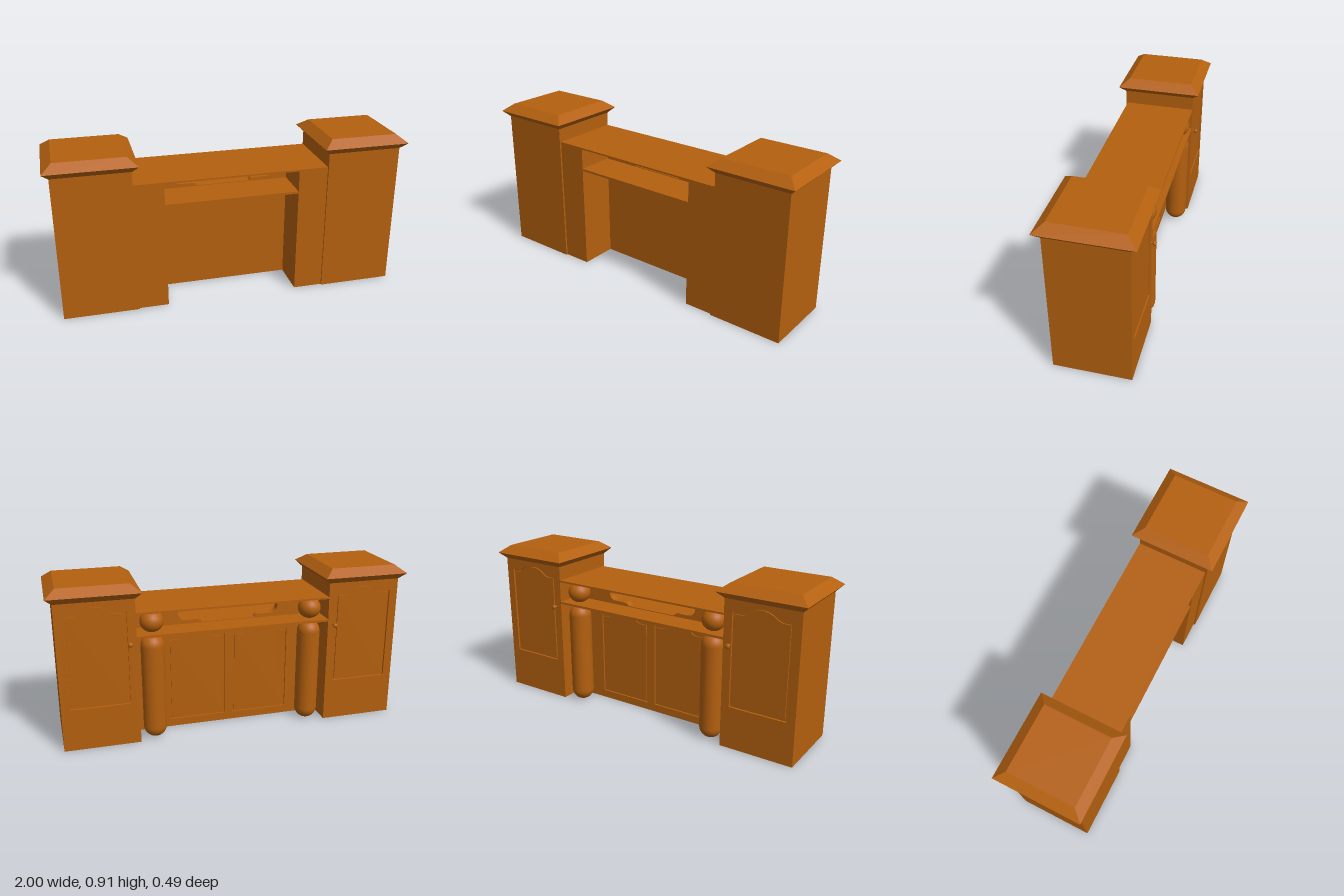
import * as THREE from 'three';

const wood = new THREE.MeshStandardMaterial({ color: 0xb4600f });
const woodFlat = new THREE.MeshStandardMaterial({ color: 0xb4600f, flatShading: true });

function add(parent, name, geometry, material = wood) {
  const mesh = new THREE.Mesh(geometry, material);
  mesh.name = name;
  parent.add(mesh);
  return mesh;
}

// Box given by its limits on each axis
function box(parent, name, x0, x1, y0, y1, z0, z1) {
  const g = new THREE.BoxGeometry(x1 - x0, y1 - y0, z1 - z0);
  g.translate((x0 + x1) / 2, (y0 + y1) / 2, (z0 + z1) / 2);
  return add(parent, name, g);
}

function rect(Type, x0, x1, y0, y1) {
  const p = new Type();
  p.moveTo(x0, y0).lineTo(x1, y0).lineTo(x1, y1).lineTo(x0, y1).closePath();
  return p;
}

// Door panel outline with a cathedral arch on top
function archPanel(Type, cx, halfW, y0, shoulder, peak) {
  const p = new Type(), mid = (shoulder + peak) / 2;
  const a = halfW * 0.78, b = halfW * 0.45;
  p.moveTo(cx - halfW, y0);
  p.lineTo(cx + halfW, y0);
  p.lineTo(cx + halfW, shoulder);
  p.lineTo(cx + a, shoulder);
  p.quadraticCurveTo(cx + a * 0.8, shoulder, cx + b, mid);
  p.quadraticCurveTo(cx + b * 0.5, peak, cx, peak);
  p.quadraticCurveTo(cx - b * 0.5, peak, cx - b, mid);
  p.quadraticCurveTo(cx - a * 0.8, shoulder, cx - a, shoulder);
  p.lineTo(cx - halfW, shoulder);
  p.closePath();
  return p;
}

function extrude(parent, name, shape, z0, z1) {
  const g = new THREE.ExtrudeGeometry(shape, { depth: z1 - z0, bevelEnabled: false, curveSegments: 10 });
  g.translate(0, 0, z0);
  return add(parent, name, g);
}

// Square frustum from y0 to y1 with half widths w0 and w1
function frustum(parent, name, w0, w1, y0, y1) {
  const g = new THREE.CylinderGeometry(w1 * Math.SQRT2, w0 * Math.SQRT2, y1 - y0, 4);
  g.rotateY(Math.PI / 4).translate(0, (y0 + y1) / 2, 0);
  return add(parent, name, g, woodFlat);
}

function tower(side) {
  const t = new THREE.Group();
  t.name = side > 0 ? 'leftTower' : 'rightTower';
  t.position.x = side * 0.755;

  // Hollow body, open at the bottom
  for (const s of [-1, 1]) {
    const x = s * 0.2;
    box(t, 'towerSide', x - 0.01, x + 0.01, 0, 0.83, -0.198, 0.21);
  }
  box(t, 'towerFront', -0.19, 0.19, 0, 0.83, 0.19, 0.21);
  box(t, 'towerBackLining', -0.19, 0.19, 0, 0.83, -0.198, -0.185);

  // Back face with arched door recess and raised field
  const face = rect(THREE.Shape, -0.21, 0.21, 0, 0.83);
  face.holes.push(archPanel(THREE.Path, 0, 0.163, 0.24, 0.765, 0.81));
  extrude(t, 'towerDoorFrame', face, -0.21, -0.198);
  extrude(t, 'towerDoorPanel', archPanel(THREE.Shape, 0, 0.152, 0.252, 0.753, 0.798), -0.206, -0.197);

  // Flared cap
  frustum(t, 'capFlare', 0.21, 0.245, 0.83, 0.865);
  frustum(t, 'capTop', 0.245, 0.19, 0.865, 0.908);

  // Door knob near the inner edge
  const profile = [[0, 0], [0.009, 0], [0.006, 0.006], [0.006, 0.013], [0.013, 0.018], [0.014, 0.024], [0.009, 0.03], [0, 0.031]];
  const knob = add(t, 'doorKnob', new THREE.LatheGeometry(profile.map(p => new THREE.Vector2(...p)), 16));
  knob.rotation.x = -Math.PI / 2;
  knob.position.set(-side * 0.173, 0.585, -0.209);
  return t;
}

export function createModel() {
  const model = new THREE.Group();
  model.name = 'barCounter';
  model.add(tower(1), tower(-1));

  // Counter top and shelf
  box(model, 'counterTop', -0.546, 0.546, 0.74, 0.75, -0.21, 0.2);
  box(model, 'shelf', -0.546, 0.546, 0.607, 0.62, -0.21, 0.199);

  // Lower centre wall with two arched door panels facing the back
  box(model, 'centreWall', -0.546, 0.546, 0, 0.607, -0.055, -0.02);
  const doors = rect(THREE.Shape, -0.546, 0.546, 0, 0.607);
  for (const s of [-1, 1]) {
    doors.holes.push(archPanel(THREE.Path, s * 0.187, 0.163, 0.045, 0.54, 0.585));
    extrude(model, 'centreDoorPanel', archPanel(THREE.Shape, s * 0.187, 0.152, 0.057, 0.528, 0.573), -0.061, -0.054);
  }
  extrude(model, 'centreDoorFrame', doors, -0.065, -0.055);

  // Upper board with a shaped pass-through opening
  const board = rect(THREE.Shape, -0.546, 0.546, 0.62, 0.74);
  const hole = new THREE.Path();
  const lo = 0.641, hi = 0.722, mid = (lo + hi) / 2, r = (hi - lo) / 2;
  hole.moveTo(-0.155, 0.624).lineTo(0.155, 0.624);
  hole.quadraticCurveTo(0.165, lo, 0.19, lo);
  hole.lineTo(0.29 - r, lo);
  hole.absarc(0.29 - r, mid, r, -Math.PI / 2, Math.PI / 2, false);
  hole.lineTo(0.19, hi).quadraticCurveTo(0.165, hi, 0.155, 0.737);
  hole.lineTo(-0.155, 0.737).quadraticCurveTo(-0.165, hi, -0.19, hi);
  hole.lineTo(-0.29 + r, hi);
  hole.absarc(-0.29 + r, mid, r, Math.PI / 2, Math.PI * 1.5, false);
  hole.lineTo(-0.19, lo).quadraticCurveTo(-0.165, lo, -0.155, 0.624);
  board.holes.push(hole);
  extrude(model, 'passThroughBoard', board, -0.065, -0.02);

  for (const s of [-1, 1]) {
    // Front pedestals beside the knee recess
    const p = [s * 0.378, s * 0.546].sort((a, b) => a - b);
    box(model, 'frontPedestal', p[0], p[1], 0, 0.74, -0.02, 0.2);

    // Rounded columns at the back, with a ball above the shelf
    const column = add(model, 'column', new THREE.CapsuleGeometry(0.065, 0.477, 8, 28));
    column.position.set(s * 0.453, 0.3035, -0.145);
    const ball = add(model, 'columnBall', new THREE.SphereGeometry(0.065, 28, 16));
    ball.scale.y = 0.92;
    ball.position.set(s * 0.453, 0.68, -0.145);
  }
  return model;
}
